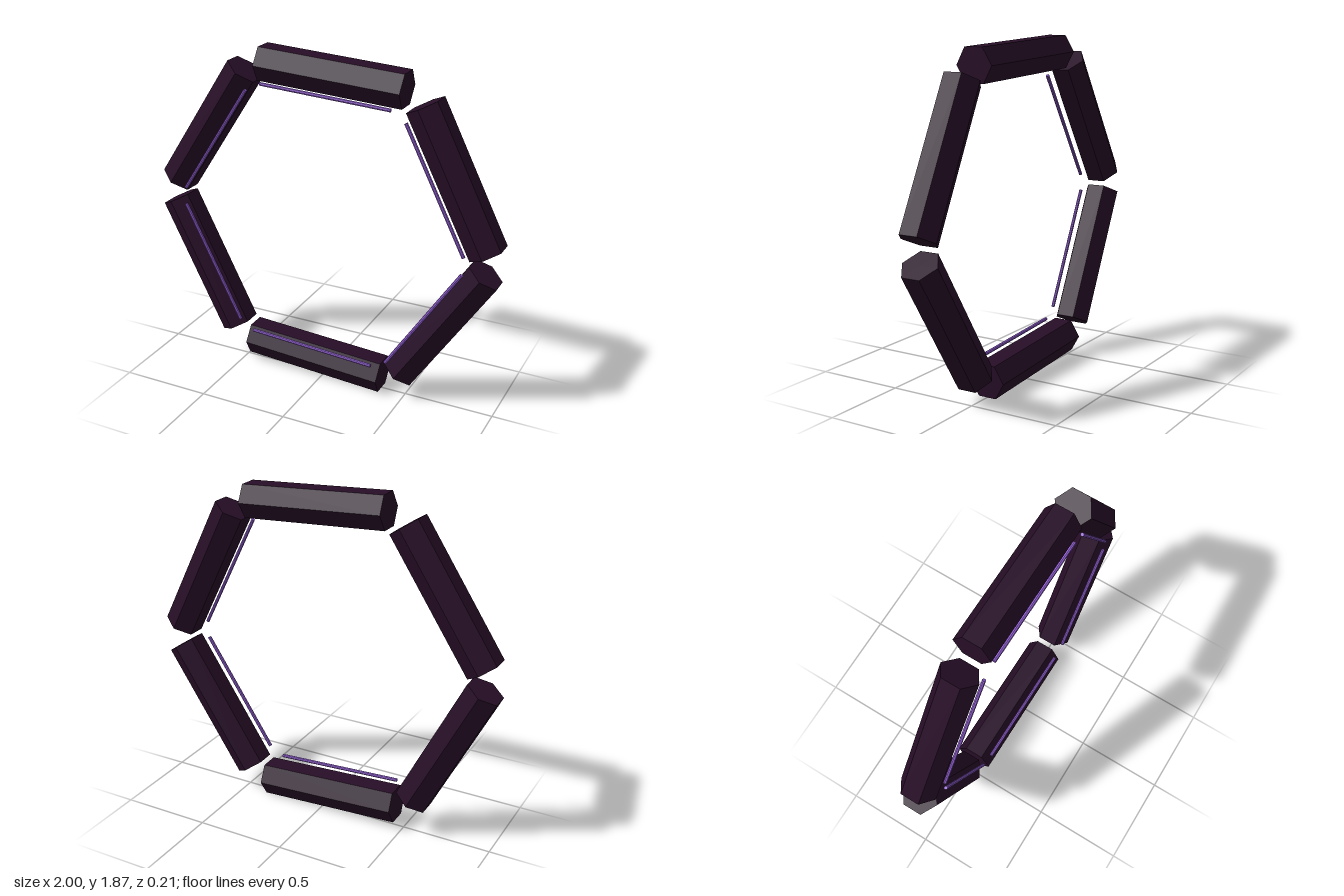
import * as THREE from 'three';

const COUNT = 6;
const RING_RADIUS = 0.824;
const BAR_RADIUS = 0.104;
const BAR_LENGTH = 0.816;
const TILT = THREE.MathUtils.degToRad(26.8);

export function createModel() {
  const model = new THREE.Group();
  model.name = 'segmentedRing';

  const darkPlum = new THREE.MeshStandardMaterial({ name: 'darkPlum', color: 0x270e27, flatShading: true });
  const violet = new THREE.MeshStandardMaterial({ name: 'violet', color: 0x9460d6, flatShading: true });

  // Hexagonal bar with a ridge facing front and back, flats facing in and out
  const barGeometry = new THREE.CylinderGeometry(BAR_RADIUS, BAR_RADIUS, BAR_LENGTH, 6);
  // Thin rod running along the inner front edge of each bar
  const rodGeometry = new THREE.CylinderGeometry(0.01, 0.01, BAR_LENGTH * 0.9, 8);
  const innerFlat = RING_RADIUS - BAR_RADIUS * Math.cos(Math.PI / 6);

  const ring = new THREE.Group();
  ring.name = 'ring';
  ring.position.y = 0.935;
  model.add(ring);

  for (let i = 0; i < COUNT; i++) {
    const segment = new THREE.Group();
    segment.name = `segment${i + 1}`;
    segment.rotation.z = TILT + (i * Math.PI * 2) / COUNT;

    const bar = new THREE.Mesh(barGeometry, darkPlum);
    bar.name = 'hexBar';
    bar.position.x = RING_RADIUS;

    const rod = new THREE.Mesh(rodGeometry, violet);
    rod.name = 'glowRod';
    rod.position.set(innerFlat, 0, 0.094);

    segment.add(bar, rod);
    ring.add(segment);
  }
  return model;
}
